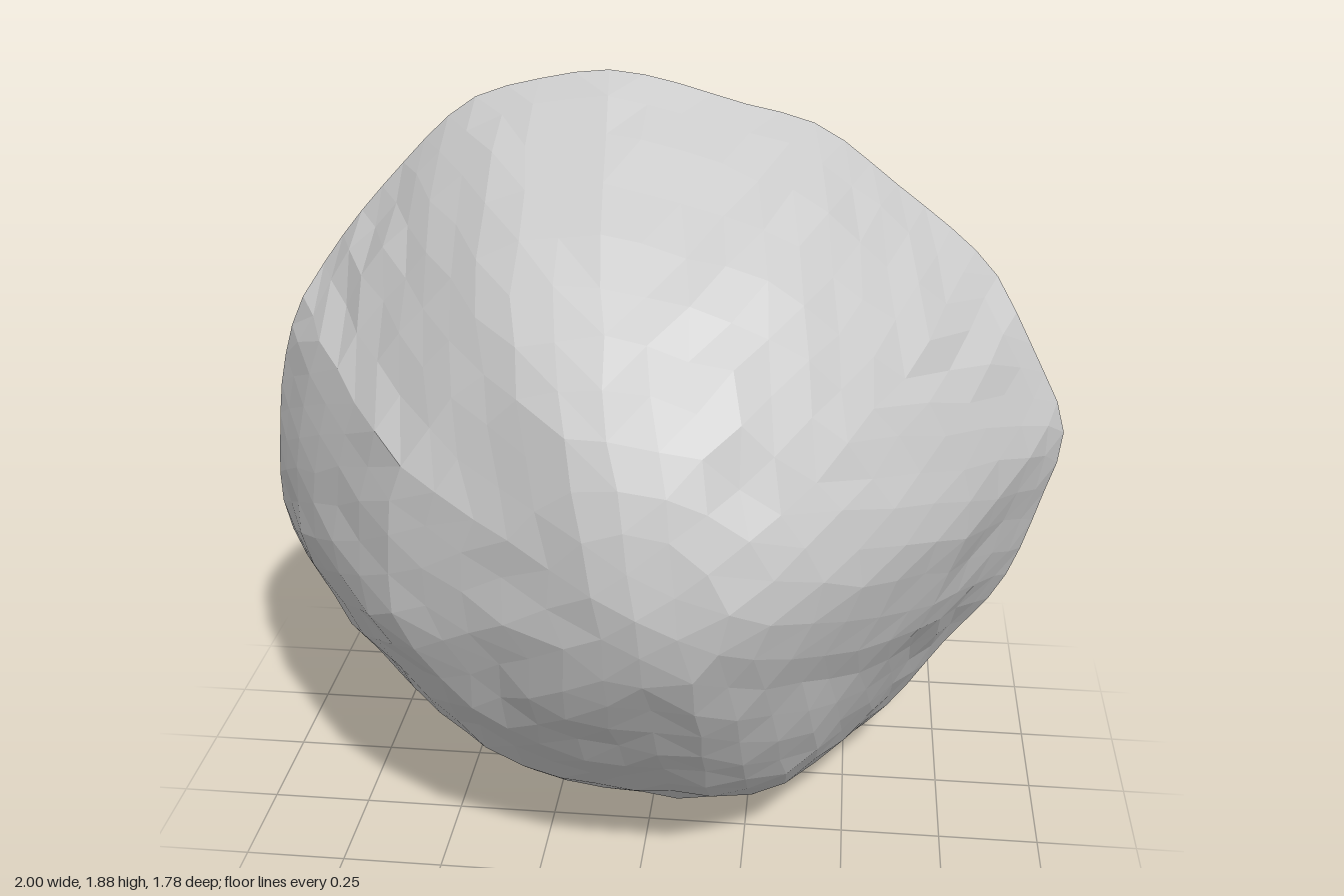
import * as THREE from 'three';

// Rim outline, clockwise from the top
const RIM = [[-.13, 1.88], [0, 1.86], [.18, 1.81], [.37, 1.76], [.55, 1.63], [.8, 1.42], [.92, 1.22], [1, 1.03],
  [.96, .84], [.88, .6], [.75, .42], [.6, .2], [.43, .05], [.25, 0], [0, .03], [-.14, .03], [-.31, .05], [-.5, .13],
  [-.7, .27], [-.88, .47], [-.95, .58], [-1, .74], [-.99, .95], [-.97, 1.1], [-.92, 1.27], [-.83, 1.42],
  [-.68, 1.6], [-.47, 1.8], [-.32, 1.85]];
const RINGS = 12;

// Depth from rim (0) to tip (1), and the section's size toward each side there.
// Corners are fuller (+) or flatter (-): upper right, upper left, lower left, lower right.
const DEPTH = [0, .12, .25, .4, .55, .7, .82, .91, .97, 1];
const FRONT = {
  sign: 1, tip: [.05, .96, .89], corners: [.09, 0, -.02, -.06],
  top: [1, .95, .89, .82, .75, .64, .52, .38, .24, 0],
  bottom: [1, .97, .94, .87, .77, .59, .42, .28, .15, 0],
  right: [1, .92, .84, .76, .65, .53, .42, .31, .2, 0],
  left: [1, .94, .88, .79, .69, .57, .37, .22, .12, 0],
};
const BACK = {
  sign: -1, tip: [0, .88, -.89], corners: [.02, .05, 0, 0],
  top: [1, .95, .9, .81, .7, .56, .4, .24, .12, 0],
  bottom: [1, .96, .89, .8, .7, .61, .49, .35, .2, 0],
  right: [1, .95, .89, .84, .72, .57, .41, .28, .18, 0],
  left: [1, .96, .89, .79, .66, .53, .42, .31, .2, 0],
};

function seeded(seed) {
  return () => (seed = (seed * 16807) % 2147483647) / 2147483647;
}

// Depth at which the section toward angle a has shrunk to size u
function depthAt(half, a, u) {
  const c = Math.cos(a), s = Math.sin(a);
  const corner = s > 0 ? (c > 0 ? 0 : 1) : (c > 0 ? 3 : 2);
  const swell = half.corners[corner] * Math.sin(2 * a) ** 2;
  const sizes = DEPTH.map((t, k) => (1 + swell * Math.sin(Math.PI * t)) *
    (c * c * (c > 0 ? half.right : half.left)[k] + s * s * (s > 0 ? half.top : half.bottom)[k]));
  const k = Math.max(1, sizes.findIndex((size) => size <= u));
  return THREE.MathUtils.mapLinear(u, sizes[k - 1], sizes[k], DEPTH[k - 1], DEPTH[k]);
}

// One half of the rock: an even triangle mesh of six sectors, domed from rim to tip
function rockHalf(half, outline, seed) {
  const rand = seeded(seed), [tx, ty, tz] = half.tip;
  const pos = [], index = [];
  const id = (j, i) => (j ? 1 + 3 * j * (j - 1) + i % (6 * j) : 0);
  for (let j = 0; j <= RINGS; j++) {
    const u = 1 - (1 - j / RINGS) ** 1.25;
    for (let i = 0; i < Math.max(1, 6 * j); i++) {
      const p = outline.getPointAt(j ? i / (6 * j) : 0);
      // the rim steps back along the top
      const rimZ = -.03 - .08 * THREE.MathUtils.smoothstep(p.y, 1.3, 1.42);
      const t = j === RINGS ? 0 : j ? depthAt(half, Math.atan2(p.y - 1, p.x), u) : 1;
      // chipped surface, leaving the rim clean
      const chip = (amount) => (j < RINGS ? (rand() - .5) * amount : 0);
      pos.push(tx + (p.x - tx) * u + chip(.016), ty + (p.y - ty) * u + chip(.016),
        THREE.MathUtils.lerp(rimZ, tz, t) + chip(.012));
    }
  }
  for (let j = 1; j <= RINGS; j++) {
    for (let q = 0; q < 6; q++) {
      for (let k = 0; k < j; k++) {
        const a = id(j, q * j + k), b = id(j, q * j + k + 1);
        const c = id(j - 1, q * (j - 1) + k), d = id(j - 1, q * (j - 1) + k + 1);
        const faces = k < j - 1 ? [a, c, b, b, c, d] : [a, c, b];
        index.push(...(half.sign > 0 ? faces : faces.reverse()));
      }
    }
  }
  const geo = new THREE.BufferGeometry();
  geo.setAttribute('position', new THREE.Float32BufferAttribute(pos, 3));
  geo.setIndex(index);
  const flat = geo.toNonIndexed();
  flat.computeVertexNormals();
  return flat;
}

export function createModel() {
  const group = new THREE.Group();
  group.name = 'rock';
  const material = new THREE.MeshStandardMaterial({ color: 0xcccccc, flatShading: true });
  const outline = new THREE.CatmullRomCurve3(RIM.map(([x, y]) => new THREE.Vector3(x, y, 0)), true);

  [['rockFront', FRONT, 11], ['rockBack', BACK, 47]].forEach(([name, half, seed]) => {
    const mesh = new THREE.Mesh(rockHalf(half, outline, seed), material);
    mesh.name = name;
    group.add(mesh);
  });
  return group;
}
